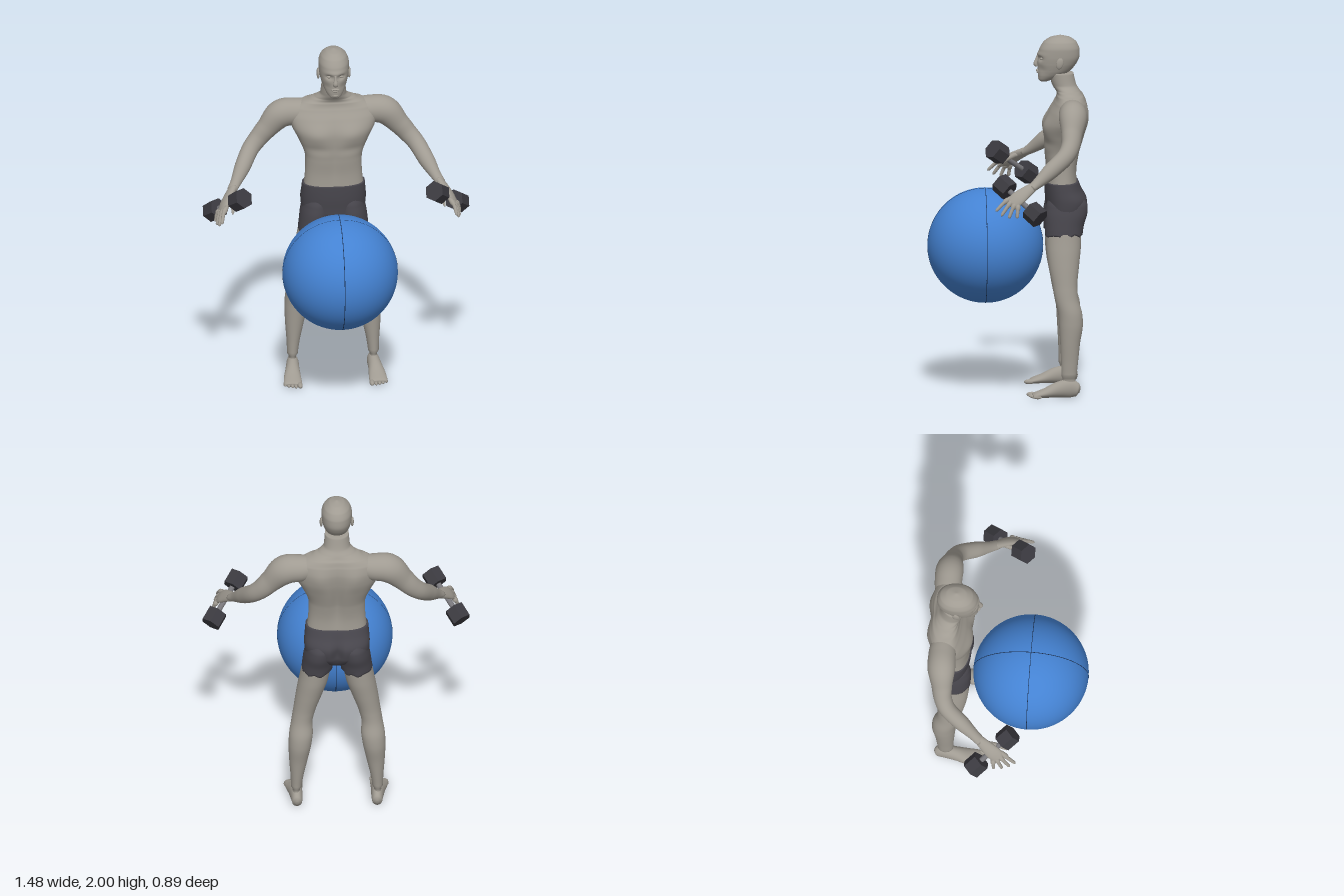
import * as THREE from 'three';

const mat = (name, color) => {
  const m = new THREE.MeshStandardMaterial({ color });
  m.name = name;
  return m;
};
const V = (x, y, z) => new THREE.Vector3(x, y, z);
const X = V(1, 0, 0), Y = V(0, 1, 0);
const bell = (d, w) => Math.exp(-(d / w) * (d / w));

// Smooth closed skin through sections [x, y, z, radiusA, radiusB, power].
// radiusA runs along ref; axis fixes the section plane, otherwise it follows the path.
function sweep(rows, { ref = X, axis = null, sculpt = null, segs = 32, steps = 6 } = {}) {
  const path = new THREE.CatmullRomCurve3(rows.map(r => V(r[0], r[1], r[2])));
  const size = new THREE.CatmullRomCurve3(rows.map(r => V(r[3], r[4], r[5] ?? 2)));
  const n = (rows.length - 1) * steps, pos = [], index = [];
  const put = p => { if (sculpt) sculpt(p); pos.push(p.x, p.y, p.z); };
  for (let i = 0; i <= n; i++) {
    const c = path.getPoint(i / n), s = size.getPoint(i / n);
    const w = axis ?? path.getTangent(i / n);
    const v = w.clone().cross(ref).normalize(), u = v.clone().cross(w).normalize();
    for (let j = 0; j < segs; j++) {
      const a = j / segs * Math.PI * 2, co = Math.cos(a), si = Math.sin(a);
      const f = q => Math.sign(q) * Math.pow(Math.abs(q), 2 / s.z);
      put(c.clone().addScaledVector(u, s.x * f(co)).addScaledVector(v, s.y * f(si)));
      if (i < n) {
        const k = (j + 1) % segs, p = i * segs, q = p + segs;
        index.push(p + j, p + k, q + k, p + j, q + k, q + j);
      }
    }
  }
  const first = pos.length / 3, top = n * segs;
  put(path.getPoint(0)); put(path.getPoint(1));
  for (let j = 0; j < segs; j++) {
    const k = (j + 1) % segs;
    index.push(first, k, j, first + 1, top + j, top + k);
  }
  const g = new THREE.BufferGeometry();
  g.setAttribute('position', new THREE.Float32BufferAttribute(pos, 3));
  g.setIndex(index);
  g.computeVertexNormals();
  return g;
}

export function createModel() {
  const root = new THREE.Group();
  const skin = mat('skin grey', 0xa09b92), cloth = mat('shorts charcoal', 0x48464d);
  const iron = mat('weight dark grey', 0x3b3a40), steel = mat('handle grey', 0x77767a);
  const blue = mat('ball blue', 0x4482d2), seamMat = mat('seam navy', 0x1b3050);
  const add = (name, geo, material, parent = root) => {
    const m = new THREE.Mesh(geo, material);
    m.name = name;
    parent.add(m);
    return m;
  };
  const blob = (name, x, y, z, rx, ry, rz, parent = root) => {
    const m = add(name, new THREE.SphereGeometry(1, 20, 14), skin, parent);
    m.position.set(x, y, z);
    m.scale.set(rx, ry, rz);
    return m;
  };

  // Exercise ball with two fine seams
  add('ball', new THREE.SphereGeometry(0.32, 64, 48), blue).position.set(0, 0.82, 0.125);
  [[Math.PI / 2, 0.3195], [0, 0.3188]].forEach(([turn, r]) => {
    const s = add('ballSeam', new THREE.TorusGeometry(r, 0.002, 6, 128), seamMat);
    s.position.set(0, 0.82, 0.125);
    s.rotation.y = turn;
  });

  // Torso and neck, with chest, belly line and spine groove
  const torso = [
    [1.15, 0.168, -0.296, 0.087], [1.25, 0.158, -0.296, 0.085], [1.35, 0.158, -0.3, 0.097],
    [1.45, 0.195, -0.311, 0.113], [1.52, 0.23, -0.321, 0.115], [1.58, 0.245, -0.335, 0.104],
    [1.63, 0.23, -0.345, 0.086], [1.665, 0.17, -0.344, 0.074], [1.69, 0.105, -0.333, 0.068],
    [1.72, 0.073, -0.314, 0.068], [1.79, 0.066, -0.295, 0.068],
  ].map(([y, w, z, d]) => [0, y, z, w, d, y > 1.68 ? 2 : 2.4]);
  add('torso', sweep(torso, {
    axis: Y, segs: 72, steps: 8,
    sculpt: p => {
      const ax = Math.abs(p.x), front = THREE.MathUtils.smoothstep(p.z, -0.3, -0.24);
      const back = THREE.MathUtils.smoothstep(-p.z, 0.33, 0.39);
      p.z += front * (0.014 * bell(ax - 0.1, 0.07) * bell(p.y - 1.5, 0.055)
        - 0.008 * bell(p.x, 0.018) * bell(p.y - 1.4, 0.17)
        - 0.006 * bell(ax - 0.1, 0.09) * bell(p.y - 1.41, 0.025));
      p.z += back * (0.02 * bell(p.x, 0.03) * bell(p.y - 1.4, 0.2)
        - 0.012 * bell(ax - 0.1, 0.05) * bell(p.y - 1.55, 0.08));
    },
  }), skin);

  // Head
  const head = [
    [1.742, 0.022, -0.2, 0.022], [1.752, 0.036, -0.21, 0.04], [1.775, 0.053, -0.235, 0.068],
    [1.8, 0.065, -0.255, 0.09], [1.84, 0.077, -0.272, 0.107], [1.88, 0.083, -0.281, 0.116],
    [1.925, 0.084, -0.286, 0.111], [1.963, 0.071, -0.289, 0.091], [1.988, 0.043, -0.29, 0.056],
    [2, 0.004, -0.29, 0.005],
  ].map(([y, w, z, d]) => [0, y, z, w, d, 2.15]);
  add('head', sweep(head, {
    axis: Y, segs: 64, steps: 8,
    sculpt: p => {
      if (p.z < -0.23) return;
      const ax = Math.abs(p.x);
      p.z -= 0.016 * bell(ax - 0.034, 0.02) * bell(p.y - 1.872, 0.014);
      p.z += 0.006 * bell(p.x, 0.055) * bell(p.y - 1.895, 0.012);
      p.z -= 0.007 * bell(ax - 0.045, 0.02) * bell(p.y - 1.81, 0.025);
    },
  }), skin);
  add('nose', sweep([[0, 1.885, -0.168, 0.007, 0.008], [0, 1.86, -0.16, 0.009, 0.01],
    [0, 1.838, -0.154, 0.014, 0.012], [0, 1.826, -0.162, 0.012, 0.008]], { segs: 16 }), skin);
  blob('upperLip', 0, 1.803, -0.165, 0.023, 0.006, 0.01);
  blob('lowerLip', 0, 1.793, -0.168, 0.02, 0.007, 0.01);
  blob('chin', 0, 1.762, -0.182, 0.024, 0.014, 0.016);

  // Pelvis of the shorts
  const pelvis = [
    [0.925, 0.03, -0.305, 0.04], [0.96, 0.1, -0.312, 0.08], [1.01, 0.174, -0.321, 0.108],
    [1.08, 0.182, -0.323, 0.116], [1.14, 0.178, -0.306, 0.102], [1.185, 0.174, -0.297, 0.093],
  ].map(([y, w, z, d]) => [0, y, z, w, d, 2.3]);
  add('shortsPelvis', sweep(pelvis, {
    axis: Y, segs: 64,
    sculpt: p => { if (p.z < -0.34) p.z += 0.03 * bell(p.x, 0.022) * bell(p.y - 1.05, 0.07); },
  }), cloth);

  // Paired parts: s = 1 is the left side
  for (const s of [1, -1]) {
    const side = new THREE.Group();
    side.name = s > 0 ? 'leftSide' : 'rightSide';
    root.add(side);
    const flip = rows => rows.map(([x, ...rest]) => [x * s, ...rest]);
    const limb = (name, rows, material, opt = {}) => {
      const ref = (opt.ref ?? X).clone();
      ref.x *= s;
      return add(name, sweep(flip(rows), { ...opt, ref }), material, side);
    };

    blob('ear', 0.086 * s, 1.852, -0.285, 0.009, 0.032, 0.02, side).rotation.x = -0.2;
    blob('eye', 0.034 * s, 1.872, -0.187, 0.013, 0.008, 0.01, side);

    // Leg from ankle to thigh
    limb('leg', [
      [0.225, 0.05, -0.332, 0.03, 0.042], [0.225, 0.12, -0.332, 0.03, 0.042],
      [0.221, 0.2, -0.335, 0.037, 0.047], [0.214, 0.3, -0.338, 0.051, 0.055],
      [0.206, 0.4, -0.343, 0.063, 0.066], [0.2, 0.47, -0.338, 0.066, 0.067],
      [0.194, 0.55, -0.318, 0.059, 0.065], [0.18, 0.62, -0.31, 0.062, 0.069],
      [0.155, 0.72, -0.305, 0.073, 0.084], [0.13, 0.82, -0.305, 0.081, 0.095],
      [0.11, 0.93, -0.307, 0.081, 0.097],
    ], skin, { axis: Y });
    limb('shortsLeg', [
      [0.11, 0.895, -0.306, 0.087, 0.104], [0.104, 0.95, -0.31, 0.087, 0.109],
      [0.098, 1.01, -0.319, 0.085, 0.118], [0.092, 1.06, -0.324, 0.08, 0.115],
      [0.09, 1.11, -0.32, 0.06, 0.09],
    ], cloth, { axis: Y, sculpt: p => { if (p.y < 0.92) p.y += 0.008 * Math.sin(p.x * 90 + p.z * 40); } });

    // Foot and toes
    limb('foot', [
      [0.222, 0.036, -0.392, 0.008, 0.012], [0.222, 0.04, -0.38, 0.027, 0.036],
      [0.224, 0.05, -0.335, 0.034, 0.052], [0.23, 0.044, -0.27, 0.039, 0.044],
      [0.236, 0.027, -0.2, 0.048, 0.027], [0.238, 0.016, -0.145, 0.05, 0.016],
      [0.239, 0.013, -0.13, 0.042, 0.01],
    ], skin, { sculpt: p => { p.y = Math.max(p.y, 0.001); } });
    for (let i = 0; i < 5; i++) {
      const r = i ? 0.0095 : 0.014;
      blob('toe', s * (0.2 + i * 0.0195 + (i ? 0.003 : 0)), r, -0.127 - i * i * 0.0018, r, r, i ? 0.024 : 0.03, side);
    }

    // Arm from inside the shoulder to the wrist
    limb('arm', [
      [0.12, 1.6, -0.35, 0.06, 0.06], [0.2, 1.592, -0.352, 0.075, 0.076],
      [0.285, 1.582, -0.351, 0.077, 0.082], [0.365, 1.502, -0.342, 0.057, 0.063],
      [0.415, 1.445, -0.333, 0.05, 0.055], [0.46, 1.396, -0.305, 0.047, 0.05],
      [0.512, 1.325, -0.222, 0.044, 0.046], [0.555, 1.267, -0.15, 0.031, 0.03],
      [0.582, 1.237, -0.108, 0.028, 0.02],
    ], skin, { ref: V(0.3, 0.3, -0.9) });

    // Dumbbell, laid from the inner front head to the outer rear head
    const a = V(0.55, 1.245, 0.038), b = V(0.675, 1.11, -0.127);
    const grip = b.clone().sub(a).normalize();
    const bell6 = new THREE.Group();
    bell6.name = 'dumbbell';
    bell6.position.copy(a).add(b).multiplyScalar(0.5);
    bell6.position.x *= s;
    bell6.quaternion.setFromUnitVectors(Y, V(grip.x * s, grip.y, grip.z));
    side.add(bell6);
    add('dumbbellHandle', new THREE.CylinderGeometry(0.015, 0.015, 0.2, 20), steel, bell6);
    for (const e of [1, -1]) {
      const hex = new THREE.CylinderGeometry(0.058, 0.058, 0.085, 6).toNonIndexed();
      hex.computeVertexNormals();
      add('dumbbellHead', hex, iron, bell6).position.y = e * a.distanceTo(b) / 2;
    }

    // Palm over the handle, spread fingers and thumb
    limb('palm', [
      [0.568, 1.25, -0.128, 0.026, 0.022], [0.6, 1.222, -0.08, 0.035, 0.02],
      [0.627, 1.192, -0.035, 0.042, 0.018], [0.642, 1.165, -0.003, 0.038, 0.014],
      [0.645, 1.158, 0.004, 0.03, 0.008],
    ], skin, { ref: grip });
    const tips = [[0.655, 1.125, 0.09], [0.668, 1.1, 0.06], [0.677, 1.088, 0.018], [0.682, 1.088, -0.028]];
    tips.forEach((t, i) => {
      const k = (i - 1.5) * 0.021;
      const base = [0.634 + grip.x * k, 1.176 + grip.y * k, -0.014 + grip.z * k];
      const at = (f, lift, r) => [...base.map((q, n) => q + (t[n] - q) * f + (n < 2 ? lift : 0)), r, r];
      limb('finger', [at(0, 0, 0.0105), at(0.45, 0.006, 0.0105), at(0.92, 0, 0.0085), at(1, 0, 0.003)],
        skin, { ref: grip, segs: 12, steps: 4 });
    });
    limb('thumb', [[0.588, 1.228, -0.07, 0.015, 0.015], [0.583, 1.205, -0.025, 0.013, 0.013],
      [0.585, 1.178, 0.015, 0.011, 0.011], [0.59, 1.158, 0.036, 0.004, 0.004]],
      skin, { ref: grip, segs: 12, steps: 4 });
  }
  return root;
}
